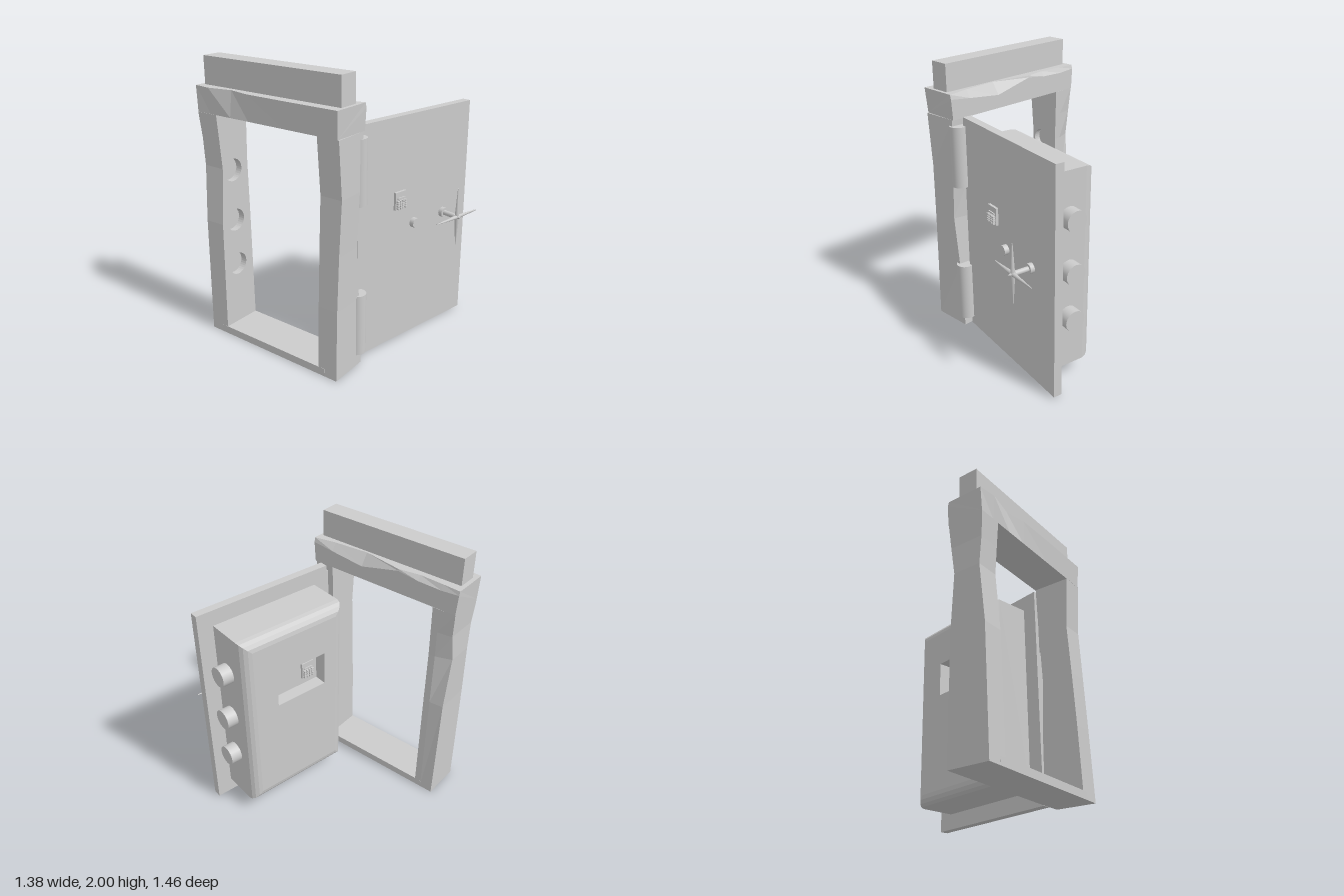
import * as THREE from 'three';

const smooth = new THREE.MeshStandardMaterial({ color: 0xcccccc });
const flat = new THREE.MeshStandardMaterial({ color: 0xcccccc, flatShading: true });

function add(parent, name, geometry, material = flat, x = 0, y = 0, z = 0) {
  const mesh = new THREE.Mesh(geometry, material);
  mesh.name = name;
  mesh.position.set(x, y, z);
  parent.add(mesh);
  return mesh;
}

// Box given by its limits on each axis
function block(parent, name, x0, x1, y0, y1, z0, z1) {
  return add(parent, name, new THREE.BoxGeometry(x1 - x0, y1 - y0, z1 - z0), flat,
    (x0 + x1) / 2, (y0 + y1) / 2, (z0 + z1) / 2);
}

// Skin over rings of [x, y, z], counterclockwise seen from the last ring's side
function loft(rings, startCap = true, endCap = true) {
  const n = rings[0].length, index = [];
  for (let i = 0; i < rings.length - 1; i++) {
    for (let j = 0; j < n; j++) {
      const a = i * n + j, b = i * n + (j + 1) % n;
      index.push(a, b, b + n, a, b + n, a + n);
    }
  }
  const last = (rings.length - 1) * n;
  for (let j = 1; j < n - 1; j++) {
    if (startCap) index.push(0, j + 1, j);
    if (endCap) index.push(last, last + j, last + j + 1);
  }
  const g = new THREE.BufferGeometry();
  g.setAttribute('position', new THREE.Float32BufferAttribute(rings.flat(2), 3));
  g.setIndex(index);
  const out = g.toNonIndexed();
  out.computeVertexNormals();
  return out;
}

// Cylinder lying along local z (or x), starting at the given point
function rod(parent, name, radius, length, x, y, z, axis = 'z') {
  const g = new THREE.CylinderGeometry(radius, radius, length, 24);
  if (axis === 'z') g.rotateX(Math.PI / 2).translate(0, 0, length / 2);
  else g.rotateZ(-Math.PI / 2).translate(length / 2, 0, 0);
  return add(parent, name, g, smooth, x, y, z);
}

const rect = (T, x0, x1, y0, y1) => new T([[x0, y0], [x1, y0], [x1, y1], [x0, y1]]
  .map(p => new THREE.Vector2(...p)));

const boltHeights = [0.51, 0.85, 1.22];

function buildFrame() {
  const frame = new THREE.Group();
  frame.name = 'frame';

  // Chipped front post: y, outer x, inner x at the front, inner x at the opening, front z
  const front = [
    [0, -0.69, -0.405, -0.4, 0.44], [0.5, -0.677, -0.43, -0.41, 0.44], [0.88, -0.662, -0.465, -0.43, 0.445],
    [1.25, -0.645, -0.435, -0.415, 0.455], [1.63, -0.672, -0.415, -0.405, 0.455]];
  add(frame, 'frontPost', loft(front.map(([y, xl, xf, xi, z]) =>
    [[xl, y, 0.3], [xl, y, z + 0.01], [xf, y, z], [xi, y, 0.3]])));

  // Back post: y, left x, right x at the opening, right x at the back, back z
  const back = [
    [0, -0.69, -0.4, -0.4, -0.7], [0.85, -0.675, -0.405, -0.415, -0.705], [1.25, -0.645, -0.41, -0.45, -0.715],
    [1.45, -0.66, -0.405, -0.42, -0.71], [1.63, -0.675, -0.4, -0.405, -0.72]];
  add(frame, 'backPost', loft(back.map(([y, xl, xi, xb, z]) =>
    [[xl, y, z], [xl, y, -0.6], [xi, y, -0.6], [xb, y, z]])));

  // Inner layer of the back post with the bolt sockets
  const outline = [...back.map(r => new THREE.Vector2(r[2], r[0])),
    ...back.map(r => new THREE.Vector2(r[1], r[0])).reverse()];
  const plate = new THREE.Shape(outline);
  for (const y of boltHeights) plate.holes.push(new THREE.Path().absarc(-0.55, y, 0.08, 0, Math.PI * 2, true));
  add(frame, 'boltSockets', new THREE.ExtrudeGeometry(plate, { depth: 0.05, bevelEnabled: false, curveSegments: 16 }),
    flat, 0, 0, -0.6);

  // Chipped lintel: z below, z above, left x, chamfer height, top right x
  const lintel = [
    [-0.72, -0.73, -0.67, 1.78, -0.41], [-0.6, -0.6, -0.685, 1.77, -0.42], [-0.42, -0.42, -0.65, 1.775, -0.43],
    [-0.26, -0.26, -0.68, 1.795, -0.405], [0.04, 0.04, -0.685, 1.725, -0.46], [0.3, 0.3, -0.685, 1.755, -0.44],
    [0.455, 0.465, -0.685, 1.775, -0.41]];
  add(frame, 'lintel', loft(lintel.map(([z, zt, xl, yc, xt]) => [
    [-0.673, 1.63, z], [-0.402, 1.63, z], [-0.402, yc, zt], [xt, 1.808, zt], [xl, 1.808, zt]])));

  block(frame, 'sill', -0.69, -0.4, 0, 0.055, -0.6, 0.35);
  block(frame, 'topBeam', -0.615, -0.475, 1.79, 2, -0.7, 0.44);
  return frame;
}

// Small keypad facing +z, standing on z = 0
function buildKeypad(name) {
  const pad = new THREE.Group();
  pad.name = name;
  block(pad, 'keypadBody', -0.05, 0.05, -0.063, 0.063, 0, 0.018);
  block(pad, 'keypadDisplay', -0.035, 0.035, 0.012, 0.024, 0.018, 0.026);
  for (let r = 0; r < 4; r++) for (let c = 0; c < 4; c++) {
    const x = -0.033 + c * 0.022, y = -0.049 + r * 0.016;
    block(pad, 'key', x - 0.008, x + 0.008, y - 0.006, y + 0.006, 0.018, 0.036);
  }
  return pad;
}

// Door in its own space: x along its width, +z is its outer side
function buildDoor() {
  const door = new THREE.Group();
  door.name = 'door';
  block(door, 'doorPanel', 0, 1.075, 0.01, 1.645, 0, 0.06);

  // Thick inner body with rounded rear edges
  const r = 0.076, steps = 4, depth = 0.332, rings = [];
  const [u0, u1, v0, v1] = [0.112, 0.958, 0.125, 1.53];
  for (let i = 0; i <= steps; i++) {
    const a = i / steps * Math.PI / 2, s = r * (1 - Math.sin(a)), z = -depth + r * (1 - Math.cos(a));
    rings.push([[u0 + s, v0 + s, z], [u1 - s, v0 + s, z], [u1 - s, v1 - s, z], [u0 + s, v1 - s, z]]);
  }
  rings.push(rings[steps].map(([x, y]) => [x, y, 0]));
  add(door, 'doorBody', loft(rings, false, true));

  // Rear face with a recess for the inner keypad
  const rear = rect(THREE.Shape, u0 + r, u1 - r, v0 + r, v1 - r);
  rear.holes.push(rect(THREE.Path, 0.29, 0.7, 0.93, 1.19));
  add(door, 'rearFace', new THREE.ExtrudeGeometry(rear, { depth: 0.095, bevelEnabled: false }), flat, 0, 0, -depth);
  block(door, 'recessFloor', 0.27, 0.72, 0.91, 1.21, -0.237, -0.2);

  const outer = buildKeypad('outerKeypad');
  outer.position.set(0.38, 1.068, 0.06);
  const inner = buildKeypad('innerKeypad');
  inner.position.set(0.38, 1.05, -0.237);
  inner.rotation.y = Math.PI;
  door.add(outer, inner);

  for (const y of boltHeights) rod(door, 'lockingBolt', 0.073, 0.1, 0.94, y, -0.13, 'x');
  rod(door, 'lockKnob', 0.035, 0.035, 0.525, 0.868, 0.06);

  // Four-spoke handle
  const handle = new THREE.Group();
  handle.name = 'handle';
  handle.position.set(0.825, 0.867, 0.06);
  rod(handle, 'handleCollar', 0.035, 0.03, 0, 0, 0);
  rod(handle, 'handleShaft', 0.018, 0.14, 0, 0, 0);
  add(handle, 'handleHub', new THREE.ConeGeometry(0.024, 0.05, 8).rotateX(Math.PI / 2), flat, 0, 0, 0.155);
  for (let i = 0; i < 4; i++) {
    const spoke = new THREE.CylinderGeometry(0.003, 0.016, 0.212, 8).translate(0, 0.106, 0);
    add(handle, 'handleSpoke', spoke, smooth, 0, 0, 0.143).rotation.z = i * Math.PI / 2;
  }
  door.add(handle);

  // Swung open about the front post
  door.position.set(-0.37, 0, 0.33);
  door.rotation.y = -0.193;
  return door;
}

export function createModel() {
  const model = new THREE.Group();
  model.name = 'vaultDoor';
  model.add(buildFrame(), buildDoor());
  for (const y of [0.3, 1.365]) {
    add(model, 'hinge', new THREE.CylinderGeometry(0.061, 0.061, 0.44, 32), smooth, -0.41, y, 0.41);
  }
  return model;
}
